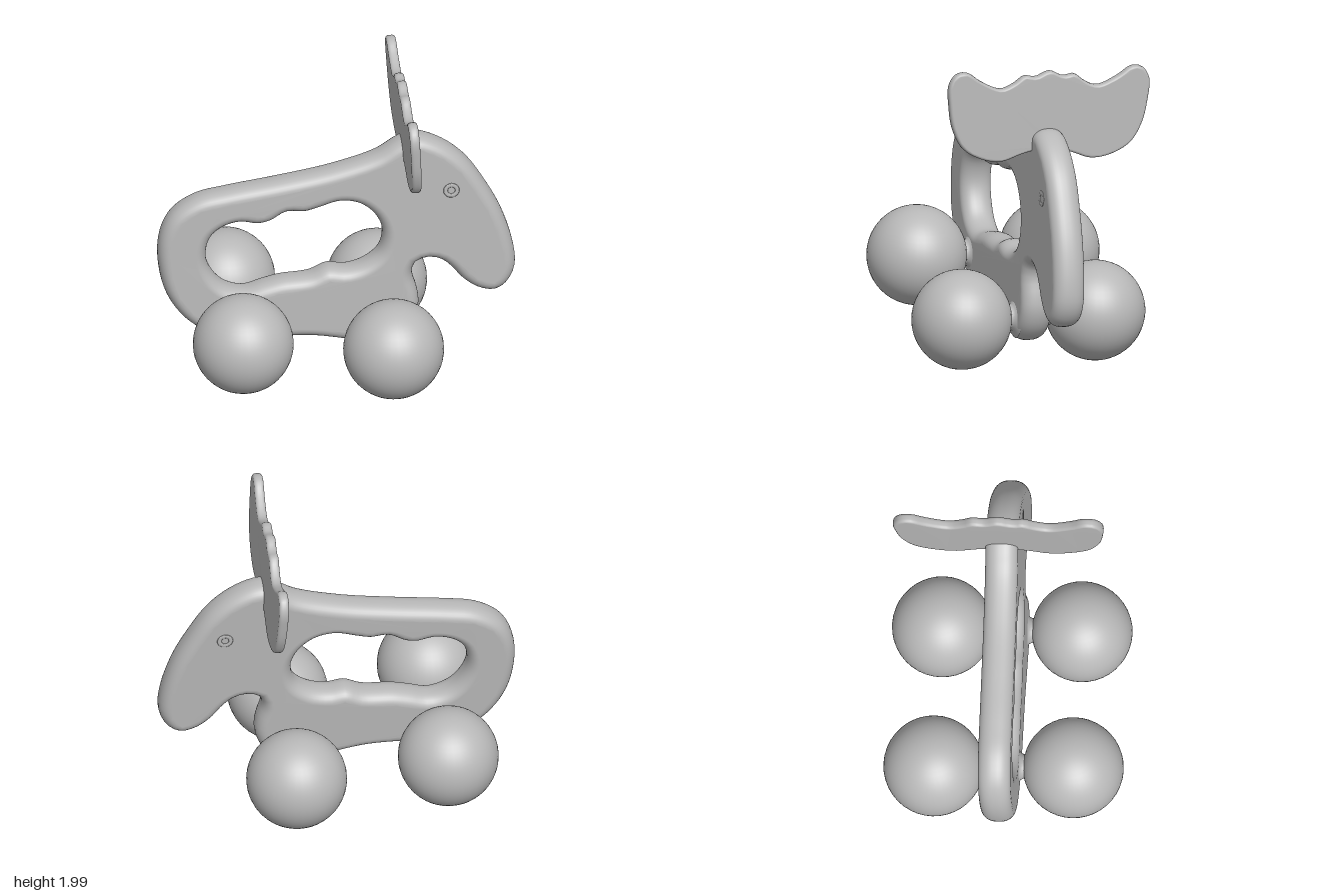
import * as THREE from 'three';
import { mergeVertices } from 'three/addons/utils/BufferGeometryUtils.js';

const grey = new THREE.MeshStandardMaterial({ color: 0xb8b8b8 });
grey.name = 'plain grey';

// Smooth closed outline through a few points
function outline(points, samples) {
  const curve = new THREE.CatmullRomCurve3(
    points.map(([x, y]) => new THREE.Vector3(x, y, 0)), true, 'centripetal');
  return curve.getSpacedPoints(samples).slice(0, -1).map(p => new THREE.Vector2(p.x, p.y));
}

// Slab with softly rounded edges, centred on z = 0
function roundedSlab(shape, halfThickness, bevelSize, bevelThickness, segments) {
  const depth = 2 * (halfThickness - bevelThickness);
  const geo = new THREE.ExtrudeGeometry(shape, {
    depth, bevelEnabled: true, bevelSize, bevelThickness,
    bevelOffset: -bevelSize, bevelSegments: segments, curveSegments: 1,
  });
  geo.translate(0, 0, -depth / 2);
  geo.deleteAttribute('normal');
  geo.deleteAttribute('uv');
  const smooth = mergeVertices(geo, 1e-4);
  smooth.computeVertexNormals();
  return smooth;
}

export function createModel() {
  const model = new THREE.Group();
  model.name = 'rollingMooseToy';

  // The toy stands diagonally and leans slightly to one side
  const toy = new THREE.Group();
  toy.name = 'toy';
  toy.rotation.order = 'YXZ';
  toy.rotation.set(-0.061, 0.887, 0);
  toy.position.set(0.043, 0, 0.035);
  model.add(toy);

  const add = (name, geo, x = 0, y = 0, z = 0) => {
    const mesh = new THREE.Mesh(geo, grey);
    mesh.name = name;
    mesh.position.set(x, y, z);
    toy.add(mesh);
    return mesh;
  };

  // Body: tail, back, head, throat notch, chest and belly
  const bodyPoints = [
    [-0.975, 0.84], [-0.955, 1.02], [-0.885, 1.15], [-0.74, 1.245], [-0.55, 1.285],
    [-0.24, 1.33], [0.1, 1.39], [0.38, 1.475], [0.5, 1.55], [0.6, 1.59],
    [0.76, 1.54], [0.924, 1.41], [1.058, 1.207], [1.16, 0.996], [1.225, 0.76],
    [1.23, 0.626], [1.18, 0.52], [1.1, 0.473], [0.99, 0.5], [0.898, 0.573],
    [0.836, 0.652], [0.77, 0.71], [0.69, 0.73], [0.615, 0.7], [0.595, 0.626],
    [0.622, 0.52], [0.635, 0.415], [0.6, 0.293], [0.52, 0.203], [0.4, 0.16],
    [0.2, 0.19], [-0.05, 0.235], [-0.443, 0.245], [-0.66, 0.3], [-0.816, 0.415], [-0.93, 0.6],
  ];
  // Grip hole with finger bumps, running the opposite way round
  const gripPoints = [
    [-0.68, 0.84], [-0.65, 0.97], [-0.57, 1.04], [-0.47, 1.065], [-0.36, 1.045],
    [-0.28, 1.06], [-0.18, 1.115], [-0.07, 1.108], [0.02, 1.13], [0.15, 1.165],
    [0.27, 1.14], [0.37, 1.05], [0.415, 0.93], [0.39, 0.8], [0.3, 0.72],
    [0.19, 0.687], [0.07, 0.7], [-0.04, 0.655], [-0.22, 0.64], [-0.33, 0.615],
    [-0.45, 0.585], [-0.57, 0.63], [-0.65, 0.73],
  ].reverse();
  const bodyShape = new THREE.Shape(outline(bodyPoints, 150));
  bodyShape.holes.push(new THREE.Path(outline(gripPoints, 90)));
  add('body', roundedSlab(bodyShape, 0.1, 0.07, 0.09, 8));

  // Antlers: one thin scalloped plate across the head, mirrored about its middle
  const half = [
    [0.09, 1.915], [0.16, 1.925], [0.225, 1.88], [0.31, 1.847], [0.44, 1.9],
    [0.53, 1.958], [0.6, 1.95], [0.645, 1.88], [0.64, 1.75], [0.61, 1.6],
    [0.54, 1.475], [0.42, 1.405], [0.29, 1.385], [0.15, 1.43],
  ];
  const antlerPoints = [
    [0, 1.95], ...half, [0, 1.46],
    ...half.slice().reverse().map(([x, y]) => [-x, y]),
  ];
  const antlerGeo = roundedSlab(new THREE.Shape(outline(antlerPoints, 130)), 0.03, 0.016, 0.022, 4);
  antlerGeo.translate(0, -1.45, 0).rotateY(-Math.PI / 2);
  add('antlers', antlerGeo, 0.57, 1.45, 0).rotation.z = 0.05;

  // Ball wheels with short flared hubs
  const wheelGeo = new THREE.SphereGeometry(0.31, 40, 28);
  const hubProfile = [[0.13, 0.085], [0.085, 0.105], [0.075, 0.125], [0.085, 0.145], [0.14, 0.19]];
  const hubGeo = new THREE.LatheGeometry(
    hubProfile.map(([r, y]) => new THREE.Vector2(r, y)), 28);
  const eyeGeo = new THREE.TorusGeometry(0.036, 0.014, 8, 24).scale(1, 1, 0.3);

  const wheels = [
    ['left rear', 1, -0.5, 0.425], ['right rear', -1, -0.51, 0.418],
    ['left front', 1, 0.43, 0.317], ['right front', -1, 0.43, 0.338],
  ];
  for (const [name, side, x, y] of wheels) {
    add(`${name} wheel`, wheelGeo, x, y, side * 0.43);
    add(`${name} hub`, hubGeo, x, y, 0).rotation.x = side * Math.PI / 2;
  }

  // Shallow ringed eyes
  for (const side of [1, -1]) {
    add(side > 0 ? 'left eye' : 'right eye', eyeGeo, 0.835, 1.22, side * 0.1);
  }
  return model;
}
